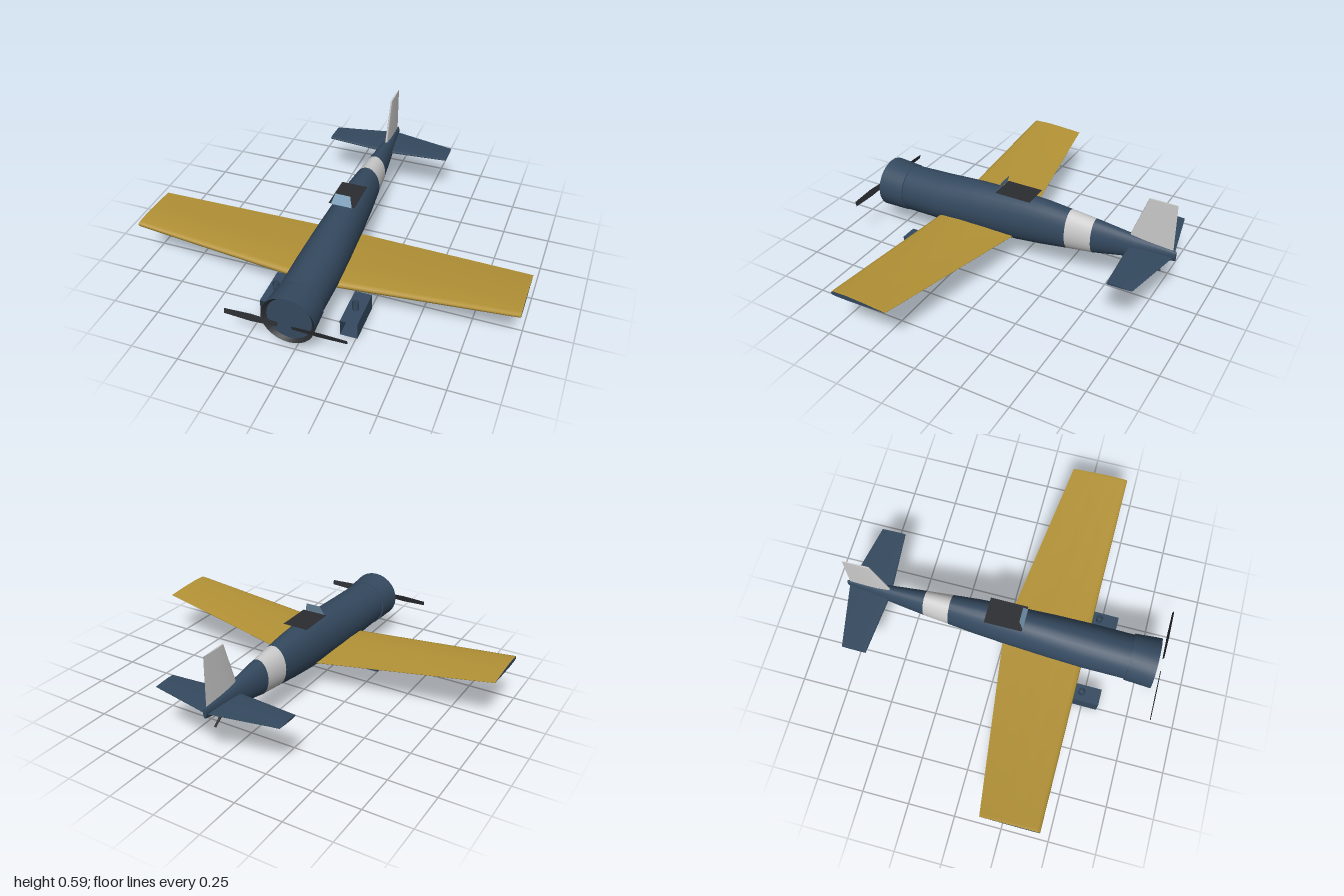
import * as THREE from 'three';

const paint = (color, side = THREE.FrontSide) => new THREE.MeshStandardMaterial({ color, side });
const navy = paint(0x34495f), navyThin = paint(0x34495f, THREE.DoubleSide);
const yellow = paint(0xb39236), pale = paint(0xcccccc);
const dark = paint(0x2a2c30, THREE.DoubleSide), glass = paint(0x7fa3bd, THREE.DoubleSide);

// Skin joining closed rings of points
function loft(rings) {
  const n = rings[0].length, index = [];
  for (let i = 0; i < rings.length - 1; i++) {
    for (let j = 0; j < n; j++) {
      const a = i * n + j, b = i * n + (j + 1) % n;
      index.push(a, a + n, b, b, a + n, b + n);
    }
  }
  const g = new THREE.BufferGeometry().setFromPoints(rings.flat());
  g.setIndex(index);
  g.computeVertexNormals();
  return g;
}

// Flat cap on a ring; flip for the far end of a loft
function cap(ring, flip = false) {
  const index = [];
  for (let j = 1; j < ring.length - 1; j++) index.push(0, flip ? j + 1 : j, flip ? j : j + 1);
  const g = new THREE.BufferGeometry().setFromPoints(ring);
  g.setIndex(index);
  g.computeVertexNormals();
  return g;
}

// Oval fuselage section from [z, half width, top, bottom]
function oval([z, w, top, bottom]) {
  return Array.from({ length: 28 }, (_, i) => {
    const a = i / 28 * Math.PI * 2;
    return new THREE.Vector3(w * Math.cos(a), (top + bottom) / 2 + (top - bottom) / 2 * Math.sin(a), z);
  });
}

// Wing section across x, from leading edge over the top to the trailing edge and back
const FOIL = [[0, 0], [0.01, 0.3], [0.06, 0.46], [0.3, 0.55], [0.6, 0.4], [1, 0.03],
  [1, -0.03], [0.6, -0.3], [0.3, -0.45], [0.06, -0.42], [0.01, -0.3]];
function foil(x, y, lead, trail, thick) {
  return FOIL.map(([u, v]) => new THREE.Vector3(x, y + v * thick, lead + (trail - lead) * u));
}

export function createModel() {
  const plane = new THREE.Group();
  plane.name = 'aeroplane';
  const add = (name, geometry, material, parent = plane) => {
    const m = new THREE.Mesh(geometry, material);
    m.name = name;
    parent.add(m);
    return m;
  };

  // Fuselage: forward body, pale band, tail cone
  const body = [[0.68, 0.118, 0.375, 0.12], [0.45, 0.118, 0.386, 0.12], [0.25, 0.11, 0.402, 0.124],
    [0, 0.096, 0.412, 0.135], [-0.15, 0.086, 0.407, 0.152], [-0.29, 0.073, 0.396, 0.172],
    [-0.43, 0.06, 0.384, 0.19], [-0.65, 0.036, 0.36, 0.237], [-0.86, 0.008, 0.333, 0.28]].map(oval);
  add('forwardFuselage', loft(body.slice(0, 6)), navy);
  add('fuselageBand', loft(body.slice(5, 7)), pale);
  add('tailCone', loft(body.slice(6)), navy);
  add('tailEnd', cap(body[8], true), navy);

  // Engine cowl with a slightly recessed nose plate
  const cowl = [[0.82, 0.135, 0.385, 0.118], [0.68, 0.125, 0.377, 0.118]].map(oval);
  const plate = oval([0.8, 0.114, 0.37, 0.13]);
  add('cowl', loft(cowl), navyThin);
  add('cowlLip', loft([plate, cowl[0]]), dark);
  add('nosePlate', cap(plate), navy);
  add('cowlBack', loft([cowl[1], body[0]]), navyThin);

  // Propeller: two thin pitched blades
  for (const s of [-1, 1]) {
    const shape = new THREE.Shape([[0.035, -0.012], [0.17, -0.019], [0.305, -0.013],
      [0.305, 0.013], [0.17, 0.019], [0.035, 0.012]].map(([x, y]) => new THREE.Vector2(s * x, y)));
    const blade = add(s > 0 ? 'leftBlade' : 'rightBlade', new THREE.ShapeGeometry(shape), dark);
    blade.position.set(0, 0.25, 0.852);
    blade.rotation.x = s * 0.25;
  }

  // Main wing with dihedral and straight leading edge
  const wing = [-1, -0.985, 0, 0.985, 1].map((x) => {
    const t = Math.abs(x);
    const tip = t === 1 ? 0.85 : 1;
    return foil(x, 0.173 + 0.1 * t, 0.447, 0.14 * t, (0.042 - 0.012 * t) * tip);
  });
  add('wing', loft(wing), yellow);
  add('rightWingTip', cap(wing[0]), navy);
  add('leftWingTip', cap(wing[4], true), navy);

  // Tailplane
  const tail = [-0.35, 0, 0.35].map((x) => {
    const t = Math.abs(x) / 0.35;
    return foil(x, 0.3, -0.62 - 0.03 * t, -0.85 + 0.07 * t, 0.016 - 0.005 * t);
  });
  add('tailplane', loft(tail), navy);
  add('rightTailTip', cap(tail[0]), navy);
  add('leftTailTip', cap(tail[2], true), navy);

  // Fin: a wing panel turned upright
  const fin = [foil(0.33, 0, -0.608, -0.845, 0.018), foil(0.59, 0, -0.7, -0.845, 0.009)];
  add('fin', loft(fin).rotateZ(Math.PI / 2), pale);
  add('finTip', cap(fin[1], true).rotateZ(Math.PI / 2), pale);

  // Cockpit cover and windshield panels
  const cover = add('cockpitCover', new THREE.PlaneGeometry(0.14, 0.2), dark);
  cover.rotation.x = -Math.PI / 2;
  cover.position.set(0, 0.417, 0.01);
  const screen = new THREE.Shape([[-0.057, 0], [0.057, 0], [0.04, 0.058], [-0.04, 0.058]]
    .map(([x, y]) => new THREE.Vector2(x, y)));
  const windshield = add('windshield', new THREE.ShapeGeometry(screen), glass);
  windshield.position.set(0, 0.416, 0.112);
  windshield.rotation.x = -0.4;

  // Undercarriage: open-ended fairings on short struts
  for (const s of [-1, 1]) {
    const gear = new THREE.Group();
    gear.name = s > 0 ? 'leftGear' : 'rightGear';
    gear.position.set(s * 0.212, 0, 0);
    plane.add(gear);
    const fairing = new THREE.Group();
    fairing.name = 'wheelFairing';
    fairing.position.set(0, 0.054, 0.473);
    fairing.rotation.x = 0.04;
    gear.add(fairing);
    for (const k of [-1, 1]) {
      const flat = add(k > 0 ? 'topPanel' : 'bottomPanel', new THREE.PlaneGeometry(0.09, 0.22), navyThin, fairing);
      flat.rotation.x = -Math.PI / 2;
      flat.position.y = k * 0.047;
      const side = add('sidePanel', new THREE.PlaneGeometry(0.22, 0.094), navyThin, fairing);
      side.rotation.y = Math.PI / 2;
      side.position.x = k * 0.045;
    }
    const strut = add('strut', new THREE.CylinderGeometry(0.017, 0.017, 0.045, 10, 1, true), navyThin, gear);
    strut.position.set(0, 0.122, 0.483);
  }

  // Tail skid
  const skid = add('tailSkid', new THREE.CylinderGeometry(0.007, 0.006, 0.11, 8), dark);
  skid.position.set(0, 0.231, -0.745);
  skid.rotation.x = 0.9;

  return plane;
}
